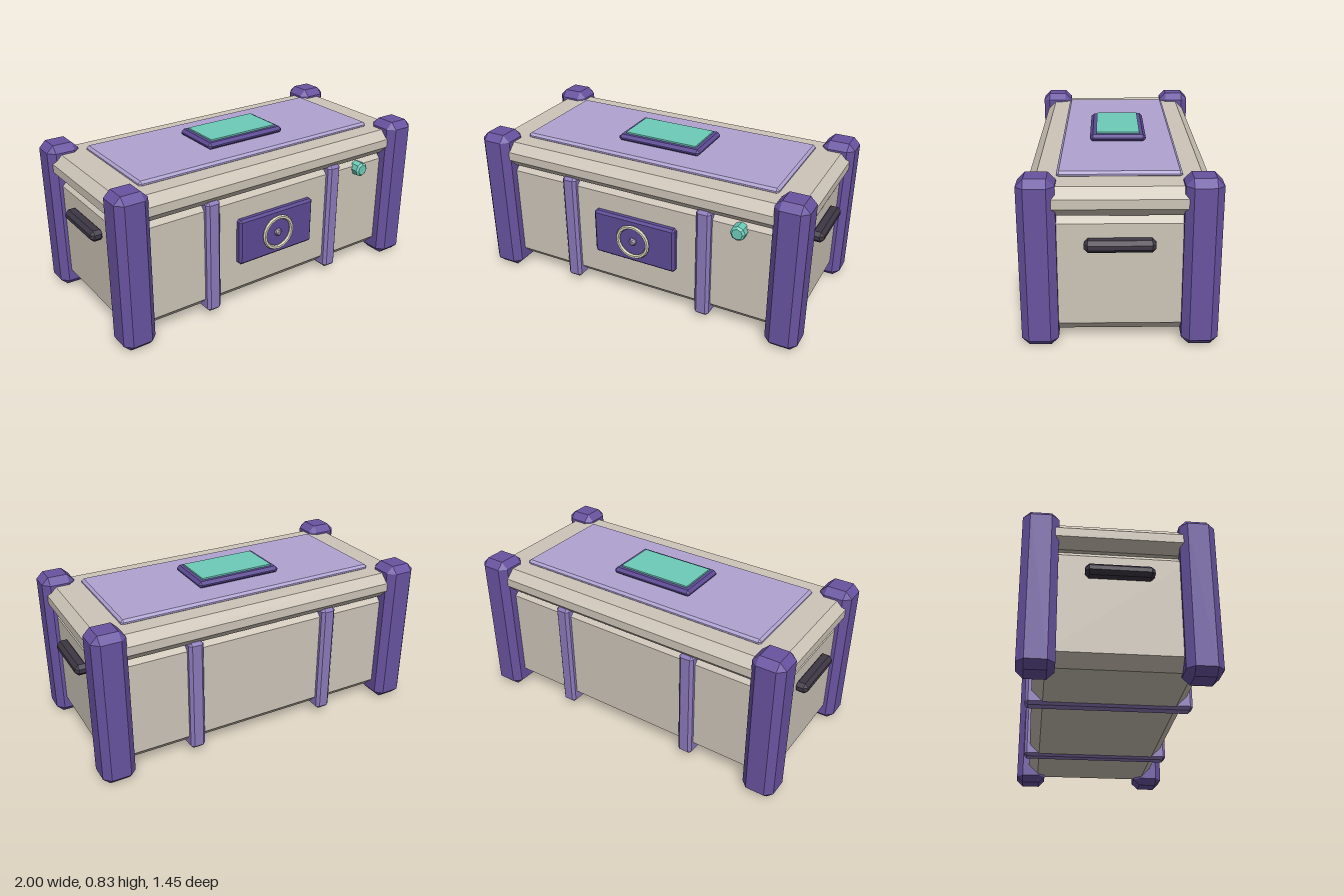
import * as THREE from 'three';
import { ConvexGeometry } from 'three/addons/geometries/ConvexGeometry.js';

const mat = (name, color) => {
  const m = new THREE.MeshStandardMaterial({ color, flatShading: true });
  m.name = name;
  return m;
};

// Box with every edge cut to a flat bevel of size b
function bevelBox(w, h, d, b) {
  const pts = [];
  for (const sx of [-1, 1]) for (const sy of [-1, 1]) for (const sz of [-1, 1]) {
    const x = w / 2, y = h / 2, z = d / 2;
    pts.push(
      new THREE.Vector3(sx * x, sy * (y - b), sz * (z - b)),
      new THREE.Vector3(sx * (x - b), sy * y, sz * (z - b)),
      new THREE.Vector3(sx * (x - b), sy * (y - b), sz * z));
  }
  return new ConvexGeometry(pts);
}

export function createModel() {
  const shell = mat('warm grey shell', 0xcdc5b8);
  const purple = mat('post purple', 0x6853a0);
  const deep = mat('deep purple', 0x5c4a94);
  const violet = mat('rib violet', 0x8b79ba);
  const lilac = mat('panel lilac', 0xb0a3d2);
  const teal = mat('teal', 0x6dcbb9);
  const dark = mat('dark handle', 0x3d3745);
  const cream = mat('cream metal', 0xd6d0b8);
  const grey = mat('grey metal', 0x9a90aa);

  const chest = new THREE.Group();
  chest.name = 'chest';
  const add = (name, geo, material, x, y, z) => {
    const m = new THREE.Mesh(geo, material);
    m.name = name;
    m.position.set(x, y, z);
    chest.add(m);
    return m;
  };
  // Bevelled block placed by its bottom and top heights
  const block = (name, material, w, d, y0, y1, b, x = 0, z = 0) =>
    add(name, bevelBox(w, y1 - y0, d, b), material, x, (y0 + y1) / 2, z);

  // Main box and lid
  block('body', shell, 1.72, 0.76, 0.045, 0.65, 0.055);
  block('lid', shell, 1.79, 0.845, 0.63, 0.765, 0.045);

  // Corner posts
  for (const sx of [-1, 1]) for (const sz of [-1, 1])
    block('cornerPost', purple, 0.17, 0.17, 0, 0.81, 0.035, sx * 0.828, sz * 0.367);

  // Ribs running down the front, under the floor and up the back
  for (const s of [-1, 1])
    block('rib', violet, 0.08, 0.82, 0.033, 0.645, 0.015, s * 0.387);

  // Lid panel with framed screen
  block('lidPanel', lilac, 1.43, 0.572, 0.755, 0.787, 0.012);
  block('screenFrame', deep, 0.47, 0.285, 0.783, 0.82, 0.015);
  add('screen', new THREE.BoxGeometry(0.405, 0.009, 0.22), teal, 0, 0.8235, 0);

  // Front lock plate with ring and boss
  block('lockPlate', deep, 0.47, 0.06, 0.245, 0.496, 0.012, 0, 0.382);
  add('lockRing', new THREE.TorusGeometry(0.086, 0.011, 6, 20), cream, 0, 0.372, 0.42);
  add('lockBoss', new THREE.IcosahedronGeometry(0.023, 0), grey, 0, 0.372, 0.417);

  // Round button near the right end of the front
  const button = new THREE.Group();
  button.name = 'button';
  const base = new THREE.Mesh(new THREE.CylinderGeometry(0.039, 0.039, 0.05, 8), teal);
  base.name = 'buttonBase';
  const cap = new THREE.Mesh(new THREE.CylinderGeometry(0.028, 0.039, 0.01, 8), teal);
  cap.name = 'buttonCap';
  cap.position.y = 0.03;
  button.add(base, cap);
  button.rotation.x = Math.PI / 2;
  button.position.set(0.573, 0.58, 0.39);
  chest.add(button);

  // Carrying handles on both ends
  for (const s of [-1, 1])
    block('sideHandle', dark, 0.07, 0.32, 0.473, 0.53, 0.018, s * 0.882);

  // The chest stands turned on its base
  chest.rotation.y = THREE.MathUtils.degToRad(20);
  const model = new THREE.Group();
  model.name = 'storageChest';
  model.add(chest);
  return model;
}
